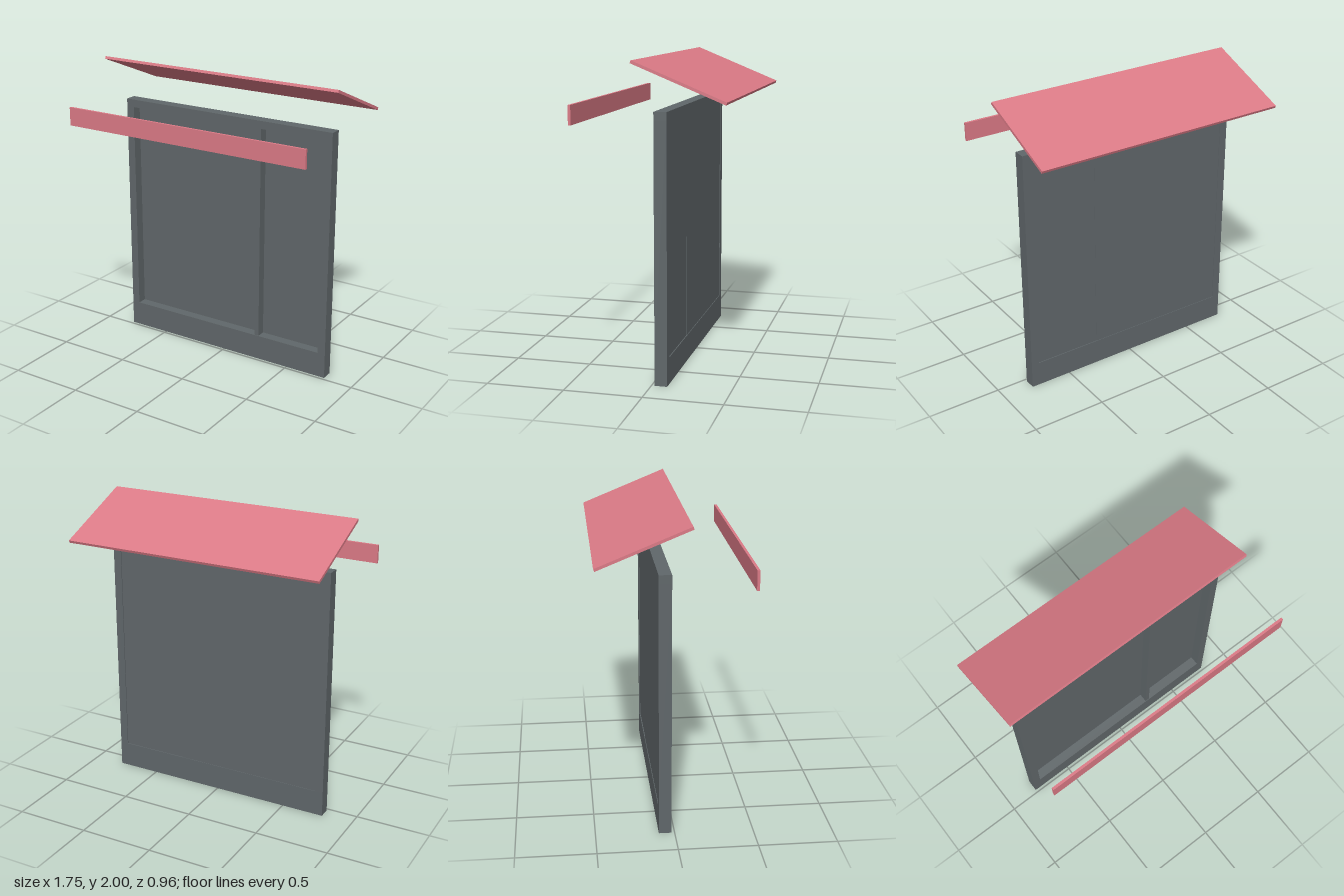
import * as THREE from 'three';

export function createModel() {
  const group = new THREE.Group();
  const frameGrey = new THREE.MeshStandardMaterial({ color: 0x60676a });
  frameGrey.name = 'frameGrey';
  const awningPink = new THREE.MeshStandardMaterial({ color: 0xdb7a86 });
  awningPink.name = 'awningPink';

  // Box given by its [min, max] extent along each axis
  function box(name, material, [x0, x1], [y0, y1], [z0, z1]) {
    const mesh = new THREE.Mesh(new THREE.BoxGeometry(x1 - x0, y1 - y0, z1 - z0), material);
    mesh.position.set((x0 + x1) / 2, (y0 + y1) / 2, (z0 + z1) / 2);
    mesh.name = name;
    group.add(mesh);
    return mesh;
  }

  const halfWidth = 0.79, inner = 0.735;
  const opening = [0.172, 1.642];
  const depth = [-0.1, -0.02];

  // Surrounding frame
  box('bottomRail', frameGrey, [-halfWidth, halfWidth], [0, opening[0]], depth);
  box('topRail', frameGrey, [-halfWidth, halfWidth], [opening[1], 1.695], depth);
  box('leftStile', frameGrey, [inner, halfWidth], opening, depth);
  box('rightStile', frameGrey, [-halfWidth, -inner], opening, depth);

  // Thin infill panels near the back, divided by a slim mullion
  box('mullion', frameGrey, [0.245, 0.276], opening, [-0.096, -0.024]);
  box('widePanel', frameGrey, [-inner, 0.245], opening, [-0.096, -0.086]);
  box('narrowPanel', frameGrey, [0.276, inner], opening, [-0.094, -0.086]);

  // Sloping awning, high at the front
  const awning = box('awning', awningPink, [-0.875, 0.875], [1.866, 1.884], [-0.501, 0.117]);
  awning.rotation.x = -0.386;

  // Upright fascia strip standing forward of the frame
  box('fascia', awningPink, [-0.875, 0.875], [1.61, 1.732], [0.466, 0.483]);

  return group;
}
